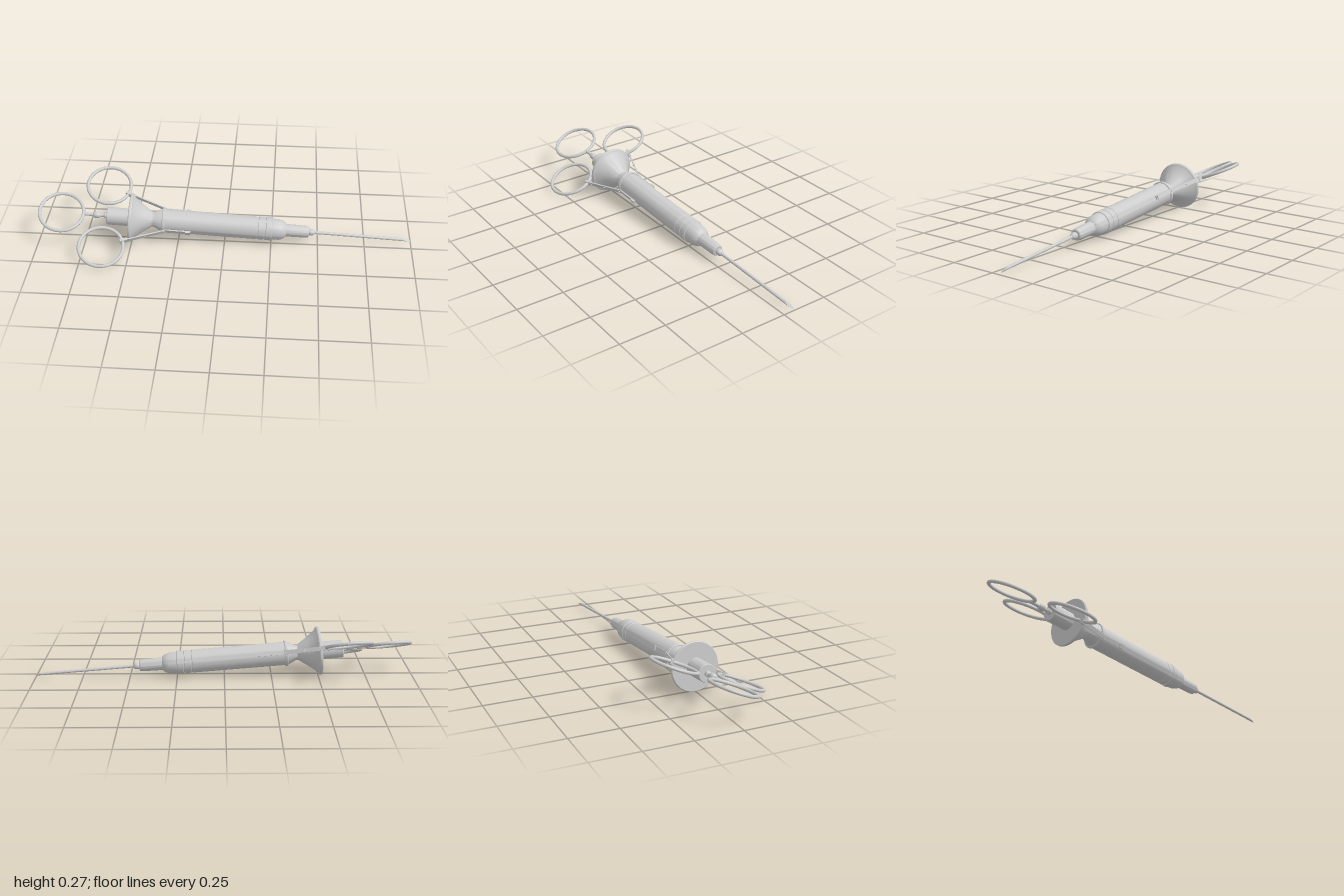
import * as THREE from 'three';
import { toCreasedNormals } from 'three/addons/utils/BufferGeometryUtils.js';

const material = new THREE.MeshStandardMaterial({ color: 0xcccccc, side: THREE.DoubleSide });

export function createModel() {
  const model = new THREE.Group();
  model.name = 'ringHandledSyringe';

  // Local frame: x runs along the syringe to the needle, z towards one finger ring.
  const axis = new THREE.Vector3(1, -0.074, -0.033).normalize();
  const side = new THREE.Vector3(0, -0.38, 0.925);
  side.addScaledVector(axis, -side.dot(axis)).normalize();
  const up = new THREE.Vector3().crossVectors(side, axis);
  const body = new THREE.Group();
  body.name = 'syringe';
  body.quaternion.setFromRotationMatrix(new THREE.Matrix4().makeBasis(axis, up, side));
  body.position.set(0, 0.094, -0.0197);
  model.add(body);

  const add = (name, geometry, parent = body) => {
    const mesh = new THREE.Mesh(geometry, material);
    mesh.name = name;
    parent.add(mesh);
    return mesh;
  };

  // Turned part from [position along x, radius] pairs.
  const turned = (name, profile, segments = 48) => {
    const points = profile.map(([x, r]) => new THREE.Vector2(r, x));
    const geometry = new THREE.LatheGeometry(points, segments).rotateZ(-Math.PI / 2);
    return add(name, toCreasedNormals(geometry, 0.5));
  };

  turned('plungerSleeve', [[-0.632, 0], [-0.632, 0.044], [-0.628, 0.047], [-0.5, 0.047]]);

  turned('flange', [[-0.512, 0], [-0.512, 0.125], [-0.508, 0.129], [-0.5, 0.129],
    [-0.495, 0.126], [-0.488, 0.112], [-0.44, 0.074], [-0.39, 0.04], [-0.38, 0.04],
    [-0.335, 0.062], [-0.33, 0.062]]);

  turned('collar', [[-0.336, 0], [-0.336, 0.066], [-0.333, 0.069], [-0.324, 0.069],
    [-0.32, 0.066], [-0.32, 0.05]]);

  turned('barrel', [[-0.325, 0], [-0.325, 0.062], [0.17, 0.061], [0.172, 0.0585],
    [0.178, 0.0585], [0.18, 0.061], [0.21, 0.061], [0.212, 0.0585], [0.218, 0.0585],
    [0.22, 0.062], [0.25, 0.062], [0.253, 0.057], [0.295, 0.055], [0.318, 0.047],
    [0.33, 0.035], [0.33, 0]]);

  turned('nozzle', [[0.32, 0], [0.32, 0.034], [0.435, 0.032], [0.45, 0.029],
    [0.453, 0.024], [0.453, 0]]);

  turned('needleHub', [[0.45, 0], [0.45, 0.014], [0.458, 0.018], [0.472, 0.018],
    [0.48, 0.014], [0.485, 0.009], [0.485, 0]], 24);

  // Needle with an obliquely cut tip
  const needleRadius = 0.008;
  const needle = new THREE.CylinderGeometry(needleRadius, needleRadius, 0.533, 20)
    .rotateZ(-Math.PI / 2).translate(0.7365, 0, 0);
  const position = needle.attributes.position;
  for (let i = 0; i < position.count; i++) {
    if (position.getX(i) > 0.9) {
      position.setX(i, 1.003 - 0.05 * (position.getY(i) + needleRadius) / (2 * needleRadius));
    }
  }
  add('needle', toCreasedNormals(needle, 0.5));

  // Plunger rod with turned beads
  turned('plungerRod', [[-0.76, 0], [-0.76, 0.009], [-0.708, 0.009], [-0.702, 0.015],
    [-0.692, 0.018], [-0.682, 0.018], [-0.672, 0.015], [-0.666, 0.009], [-0.65, 0.009],
    [-0.646, 0.015], [-0.63, 0.015]], 24);

  const ring = (name, x, z, parent) => add(name,
    new THREE.TorusGeometry(0.117, 0.009, 12, 64).rotateX(Math.PI / 2), parent).position.set(x, 0, z);
  ring('thumbRing', -0.877, 0, body);

  // Strap outline in the plane of the rings, drawn as (x, z)
  const strapPath = [[-0.18, 0.062], [-0.315, 0.063], [-0.33, 0.07], [-0.5, 0.134], [-0.54, 0.142]];
  const thickness = 0.007;
  const outline = [...strapPath, ...strapPath.map(([x, z]) => [x, z + thickness]).reverse()];
  const strapShape = new THREE.Shape(outline.map(([x, z]) => new THREE.Vector2(x, z)));

  for (const sign of [1, -1]) {
    const grip = new THREE.Group();
    grip.name = sign > 0 ? 'frontFingerGrip' : 'backFingerGrip';
    grip.rotation.x = sign > 0 ? 0 : Math.PI;
    body.add(grip);

    ring('fingerRing', -0.642, 0.194, grip);

    const strap = new THREE.ExtrudeGeometry(strapShape, { depth: 0.022, bevelEnabled: false });
    add('strap', strap.rotateX(Math.PI / 2).translate(0, 0.011, 0), grip);

    // Catch on the barrel and clamp where the strap meets the ring
    add('catch', new THREE.BoxGeometry(0.024, 0.022, 0.012), grip).position.set(-0.197, 0, 0.069);
    const clamp = add('clamp', new THREE.BoxGeometry(0.04, 0.026, 0.015), grip);
    clamp.position.set(-0.528, 0, 0.146);
    clamp.rotation.y = 0.35;

    // Pins through the strap
    for (const [x, z] of [[-0.322, 0.071], [-0.42, 0.108]]) {
      const pin = add('pin', new THREE.CylinderGeometry(0.005, 0.005, 0.012, 16), grip);
      pin.rotation.x = Math.PI / 2;
      pin.position.set(x, 0, z);
    }
  }

  return model;
}
